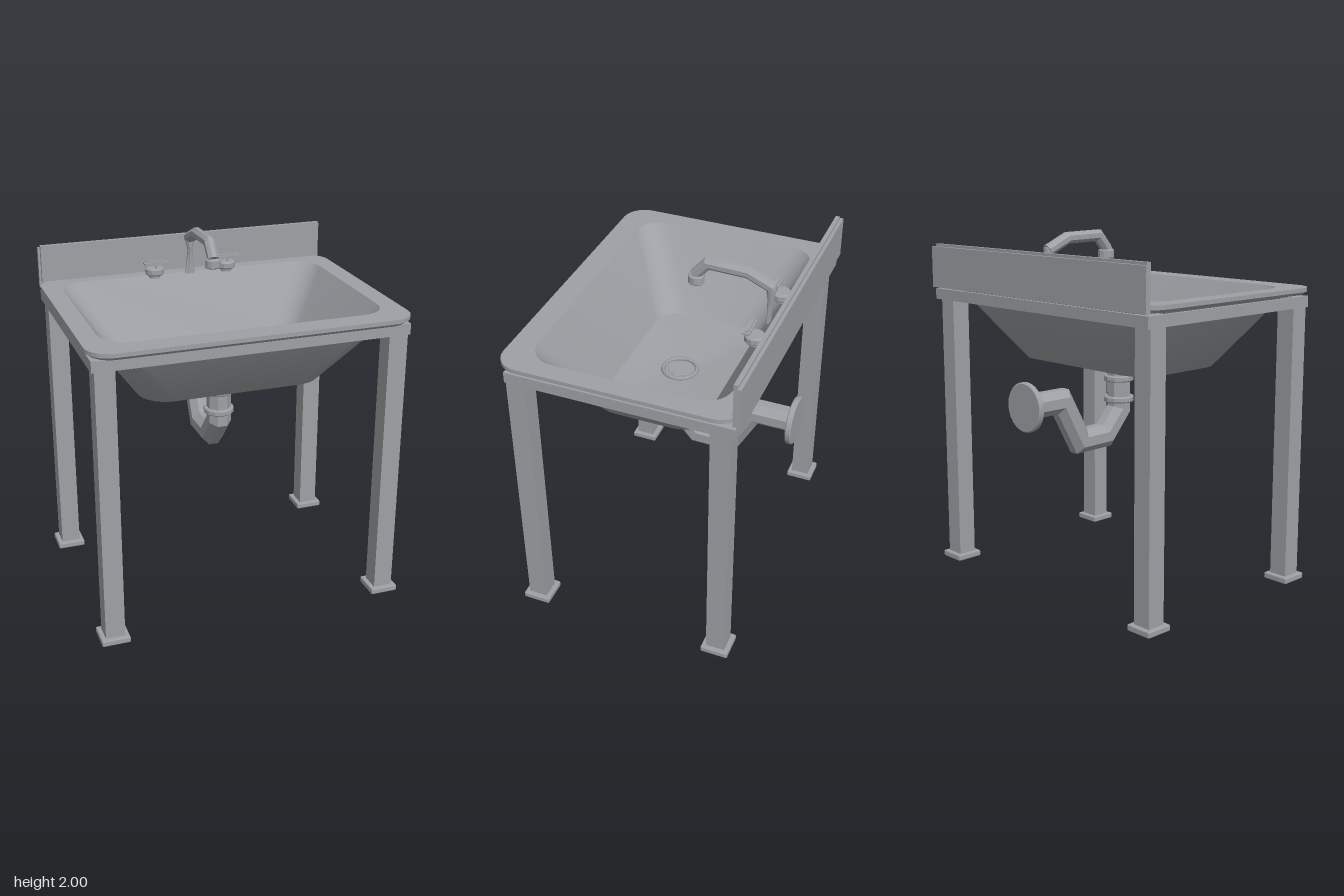
import * as THREE from 'three';
import { toCreasedNormals } from 'three/addons/utils/BufferGeometryUtils.js';
import { RoundedBoxGeometry } from 'three/addons/geometries/RoundedBoxGeometry.js';

const material = new THREE.MeshStandardMaterial({ color: 0x9da1a5, side: THREE.DoubleSide });

// Skin a list of equally sized point rings, optionally closing the ends
function loft(rings, caps = false, crease = 0.5) {
  const n = rings[0].length, pos = rings.flat(2), idx = [];
  for (let i = 0; i < rings.length - 1; i++) {
    for (let j = 0; j < n; j++) {
      const a = i * n + j, b = i * n + (j + 1) % n;
      idx.push(a, b, a + n, b, b + n, a + n);
    }
  }
  if (caps) {
    const last = (rings.length - 1) * n;
    for (let j = 1; j < n - 1; j++) idx.push(0, j + 1, j, last, last + j, last + j + 1);
  }
  const g = new THREE.BufferGeometry();
  g.setAttribute('position', new THREE.Float32BufferAttribute(pos, 3));
  g.setIndex(idx);
  return toCreasedNormals(g, crease);
}

// Horizontal rounded rectangle, symmetric in x, from zBack to zFront
function roundedRing(y, hx, zBack, zFront, r, seg = 7) {
  const pts = [];
  const corners = [[hx - r, zFront - r], [r - hx, zFront - r], [r - hx, zBack + r], [hx - r, zBack + r]];
  corners.forEach(([cx, cz], k) => {
    for (let i = 0; i <= seg; i++) {
      const t = (k + i / seg) * Math.PI / 2;
      pts.push([cx + r * Math.cos(t), y, cz + r * Math.sin(t)]);
    }
  });
  return pts;
}

// Mitred pipe in the x = 0 plane; points are [z, y]
function mitredPipe(points, r, sides, caps) {
  const dirs = points.slice(1).map((p, i) =>
    new THREE.Vector2(p[0] - points[i][0], p[1] - points[i][1]).normalize());
  const rings = points.map(([z, y], i) => {
    const d0 = dirs[Math.max(i - 1, 0)], d1 = dirs[Math.min(i, dirs.length - 1)];
    const t = d0.clone().add(d1).normalize(), s = r / t.dot(d1);
    return Array.from({ length: sides }, (_, j) => {
      const a = (j + 0.5) / sides * Math.PI * 2;
      return [r * Math.cos(a), y + t.x * s * Math.sin(a), z - t.y * s * Math.sin(a)];
    });
  });
  return loft(rings, caps);
}

function createModel() {
  const model = new THREE.Group();
  const add = (name, geometry, x = 0, y = 0, z = 0, parent = model) => {
    const mesh = new THREE.Mesh(geometry, material);
    mesh.name = name;
    mesh.position.set(x, y, z);
    parent.add(mesh);
    return mesh;
  };
  const box = (w, h, d) => new THREE.BoxGeometry(w, h, d);

  // Disc with chamfered edges, axis along y
  const disc = (r, h, sides, bevel = 0.006) => {
    const profile = [[0, -h / 2], [r - bevel, -h / 2], [r, bevel - h / 2],
      [r, h / 2 - bevel], [r - bevel, h / 2], [0, h / 2]].map(p => new THREE.Vector2(...p));
    return toCreasedNormals(new THREE.LatheGeometry(profile, sides), 0.5);
  };

  // Basin: inside of the bowl and the rolled rim
  add('basin', loft([
    roundedRing(1.235, 0.08, -0.065, 0.095, 0.08),
    roundedRing(1.265, 0.5, -0.285, 0.315, 0.15),
    roundedRing(1.69, 0.78, -0.52, 0.55, 0.15),
    roundedRing(1.69, 0.887, -0.628, 0.683, 0.13),
    roundedRing(1.667, 0.887, -0.628, 0.683, 0.13),
    roundedRing(1.65, 0.865, -0.61, 0.665, 0.12),
    roundedRing(1.64, 0.795, -0.57, 0.61, 0.16),
  ]));

  // Smooth underside of the bowl
  add('bowlUnderside', loft([
    roundedRing(1.64, 0.795, -0.57, 0.61, 0.16),
    roundedRing(1.25, 0.52, -0.31, 0.345, 0.16),
    roundedRing(1.22, 0.08, -0.065, 0.095, 0.08),
  ], false, 1.4));

  // Drain
  const drain = new THREE.TorusGeometry(0.096, 0.012, 6, 24);
  drain.rotateX(Math.PI / 2);
  add('drainRing', drain, 0, 1.243, 0.017);
  add('drainPlate', disc(0.088, 0.02, 24), 0, 1.23, 0.017);
  add('drainPlug', disc(0.07, 0.012, 8, 0.003), 0, 1.24, 0.017);

  // Backsplash with a stepped edge
  add('backsplash', box(1.72, 0.25, 0.024), 0, 1.775, -0.607);
  add('backsplashBacking', box(1.745, 0.235, 0.02), 0, 1.768, -0.628);

  // Frame rails under the rim
  for (const z of [0.62, -0.61]) add('longRail', box(1.74, 0.062, 0.02), 0, 1.611, z);
  for (const s of [1, -1]) add('sideRail', box(0.02, 0.062, 1.21), s * 0.86, 1.611, 0.005);

  // Legs and feet
  for (const x of [0.802, -0.802]) {
    for (const z of [0.575, -0.535]) {
      add('leg', box(0.108, 1.62, 0.108), x, 0.83, z);
      add('foot', new RoundedBoxGeometry(0.16, 0.036, 0.16, 1, 0.008), x, 0.018, z);
    }
  }

  // Tap handles: round base and a cross-section bar on a slim post
  for (const s of [1, -1]) {
    const handle = new THREE.Group();
    handle.name = 'tapHandle';
    handle.position.set(s * 0.22, 0, -0.485);
    model.add(handle);
    add('handleStem', new THREE.CylinderGeometry(0.032, 0.032, 0.03, 10), 0, 1.7, 0, handle);
    add('handleBase', disc(0.056, 0.044, 12, 0.008), 0, 1.726, 0, handle);
    add('handlePost', new THREE.CylinderGeometry(0.006, 0.006, 0.04, 6), 0, 1.757, 0.028, handle);
    add('handleBar', box(0.14, 0.01, 0.036), 0, 1.78, 0.028, handle);
    add('handleRib', box(0.115, 0.03, 0.014), 0, 1.779, 0.028, handle);
  }

  // Spout: pinched stem, bent pipe and nozzle
  const oval = (y, z, rx, rz) => Array.from({ length: 8 }, (_, j) => {
    const a = (j + 0.5) / 8 * Math.PI * 2;
    return [rx * Math.cos(a), y, z + rz * Math.sin(a)];
  });
  add('spoutStem', loft([
    oval(1.92, -0.495, 0.026, 0.026), oval(1.9, -0.495, 0.03, 0.03),
    oval(1.83, -0.493, 0.013, 0.018), oval(1.69, -0.49, 0.032, 0.01)], true));
  add('spout', mitredPipe([[-0.505, 1.9], [-0.365, 1.962], [-0.14, 1.967], [-0.07, 1.885]], 0.033, 8, true));
  add('nozzle', disc(0.045, 0.052, 12), 0, 1.862, -0.077);

  // Waste trap with collars and wall flange
  add('trapPipe', mitredPipe([[0.022, 1.22], [0.022, 0.965], [-0.097, 0.828],
    [-0.29, 0.825], [-0.425, 1.072], [-0.66, 1.072]], 0.071, 8, false));
  for (const y of [1.148, 1.026]) add('trapCollar', disc(0.088, 0.034, 12), 0, y, 0.022);
  add('wallFlange', disc(0.137, 0.034, 24), 0, 1.072, -0.669).rotation.x = Math.PI / 2;

  return model;
}

export { createModel };
